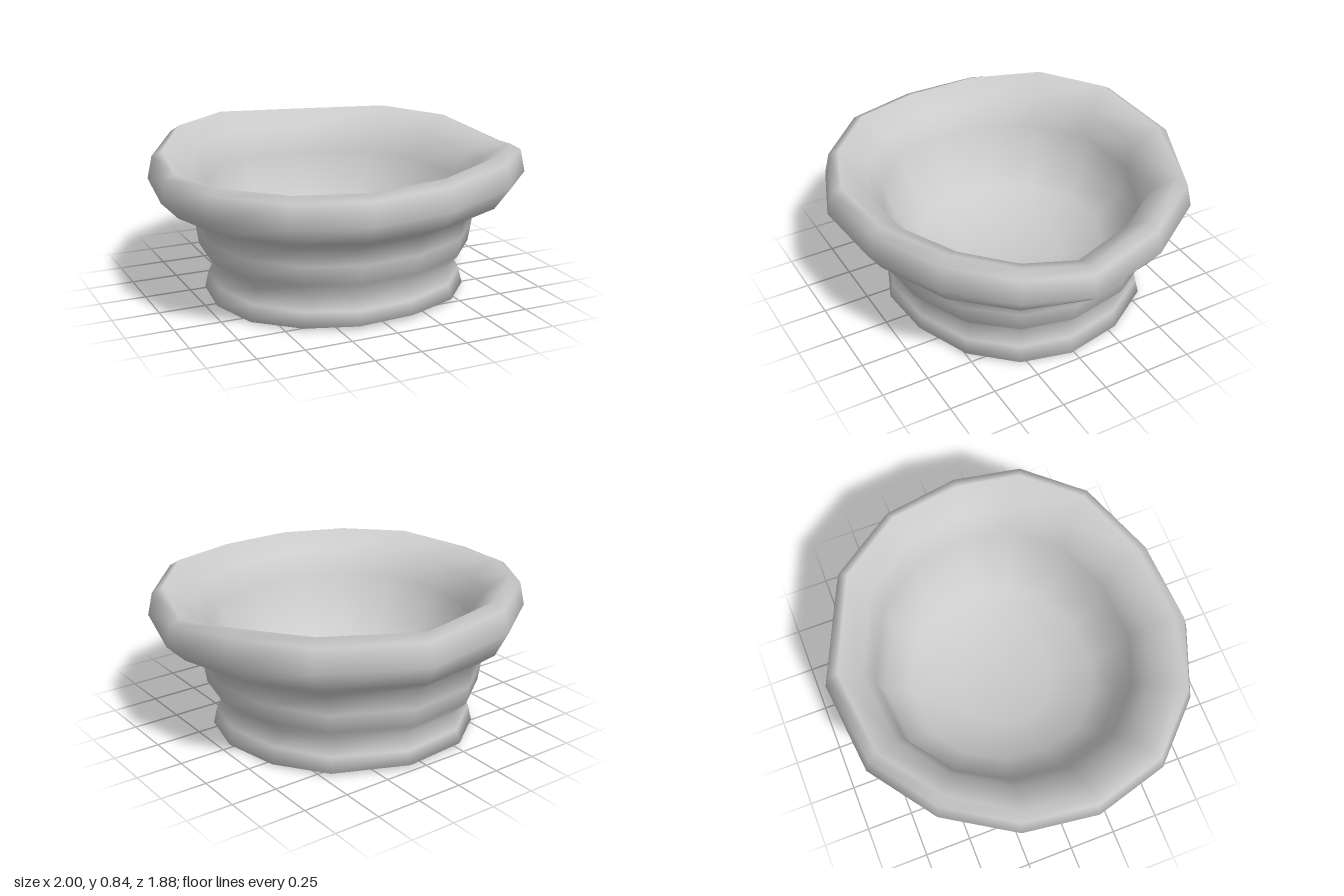
import * as THREE from 'three';

// Uneven hand-shaped rim outline: [x, z, crest height]
const RIM = [
  [1.00, 0.08, 0.75], [0.91, 0.44, 0.80], [0.64, 0.73, 0.82], [0.22, 0.90, 0.79],
  [-0.23, 0.93, 0.775], [-0.60, 0.79, 0.77], [-0.89, 0.51, 0.77], [-1.00, 0.12, 0.76],
  [-0.95, -0.28, 0.79], [-0.73, -0.64, 0.835], [-0.38, -0.89, 0.835], [0.13, -0.94, 0.80],
  [0.66, -0.70, 0.82], [0.91, -0.34, 0.81],
];

// Rings from under the foot, up the outside and down the inside:
// [scale of rim outline, height, z shift, share of the rim's wave]
const RINGS = [
  [0.63, 0.012, -0.04, 0], // underside
  [0.70, 0.018, -0.04, 0], // foot edge
  [0.68, 0.10, -0.04, 0],
  [0.64, 0.175, -0.04, 0], // waist
  [0.725, 0.26, -0.04, 0], // body
  [0.74, 0.36, -0.04, 0],
  [0.755, 0.465, -0.035, 0.1],
  [0.91, 0.545, -0.01, 0.3], // flared lip
  [1.00, 0.655, 0, 0.7],
  [0.975, 0.775, 0, 0.8],
  [0.92, 0.805, 0, 1], // crest
  [0.78, 0.72, -0.01, 0.8],
  [0.70, 0.58, -0.02, 0.4], // inner wall
  [0.64, 0.42, -0.03, 0.1],
  [0.50, 0.28, -0.03, 0],
  [0.28, 0.21, -0.03, 0], // inner floor
];

function bowlGeometry() {
  const n = RIM.length;
  const pos = [];
  const index = [];
  for (const [s, y, dz, wave] of RINGS) {
    const stretch = 1 + 0.06 * (1 - wave) ** 2; // the lower body is rounder than the rim
    for (const [x, z, top] of RIM) {
      // the foot rocks slightly: low at the sides, raised front and back
      const rock = y < 0.05 ? -0.01 * Math.cos(2 * Math.atan2(z, x)) : 0;
      pos.push(x * s, y + wave * (top - 0.8) + rock, z * s * stretch + dz);
    }
  }
  for (let j = 0; j < RINGS.length - 1; j++) {
    for (let k = 0; k < n; k++) {
      const a = j * n + k, b = j * n + (k + 1) % n;
      index.push(a, a + n, b, b, a + n, b + n);
    }
  }
  // close the underside and the inner floor with fans
  const under = pos.length / 3, floor = under + 1, last = (RINGS.length - 1) * n;
  pos.push(0, 0.012, -0.04, 0, 0.195, -0.03);
  for (let k = 0; k < n; k++) {
    const next = (k + 1) % n;
    index.push(under, k, next, last + k, floor, last + next);
  }
  const geo = new THREE.BufferGeometry();
  geo.setAttribute('position', new THREE.Float32BufferAttribute(pos, 3));
  geo.setIndex(index);
  geo.computeVertexNormals();
  return geo;
}

export function createModel() {
  const group = new THREE.Group();
  group.name = 'bowl';
  const bowl = new THREE.Mesh(bowlGeometry(), new THREE.MeshStandardMaterial({ color: 0xcccccc }));
  bowl.name = 'bowlBody';
  group.add(bowl);
  return group;
}
